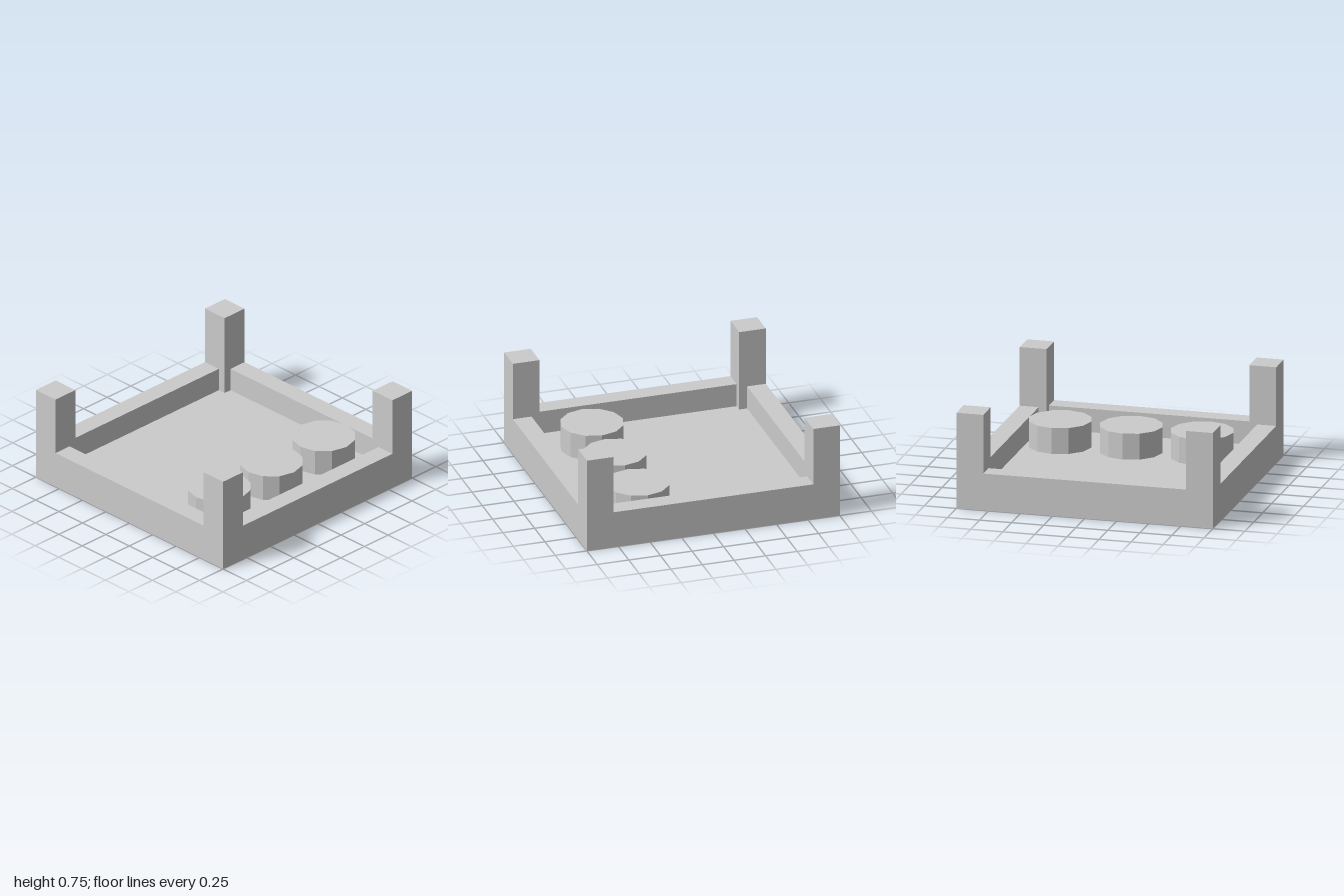
import * as THREE from 'three';

const FLOOR = 0.107, RAIL_TOP = 0.29, POST_TOP = 0.75, DISC_TOP = 0.31;
const POST = 0.21, RAIL = 0.148;

export function createModel() {
  const model = new THREE.Group();
  model.name = 'tray';
  const material = new THREE.MeshStandardMaterial({ color: 0xcccccc, flatShading: true });

  const add = (name, geometry, x, y, z) => {
    const mesh = new THREE.Mesh(geometry, material);
    mesh.name = name;
    mesh.position.set(x, y, z);
    model.add(mesh);
  };
  // Box standing between two heights
  const block = (name, w, d, bottom, top, x, z) =>
    add(name, new THREE.BoxGeometry(w, top - bottom, d), x, (bottom + top) / 2, z);

  // Base slab
  block('floor', 2, 2, 0, FLOOR, 0, 0);

  // Low rails between the corner posts
  const span = 2 - 2 * POST, railAt = 1 - RAIL / 2;
  for (const s of [-1, 1]) {
    block(s > 0 ? 'frontRail' : 'backRail', span, RAIL, FLOOR, RAIL_TOP, 0, s * railAt);
    block(s > 0 ? 'leftRail' : 'rightRail', RAIL, span, FLOOR, RAIL_TOP, s * railAt, 0);
  }

  // Corner posts
  const postAt = 1 - POST / 2;
  for (const sx of [-1, 1]) for (const sz of [-1, 1]) {
    const name = (sz > 0 ? 'front' : 'back') + (sx > 0 ? 'Left' : 'Right') + 'Post';
    block(name, POST, POST, FLOOR, POST_TOP, sx * postAt, sz * postAt);
  }

  // Row of twelve-sided discs along the front
  const height = DISC_TOP - FLOOR;
  [-0.513, 0.04, 0.594].forEach((x, i) =>
    add(['rightDisc', 'middleDisc', 'leftDisc'][i],
      new THREE.CylinderGeometry(0.243, 0.243, height, 12), x, FLOOR + height / 2, 0.465));

  return model;
}
